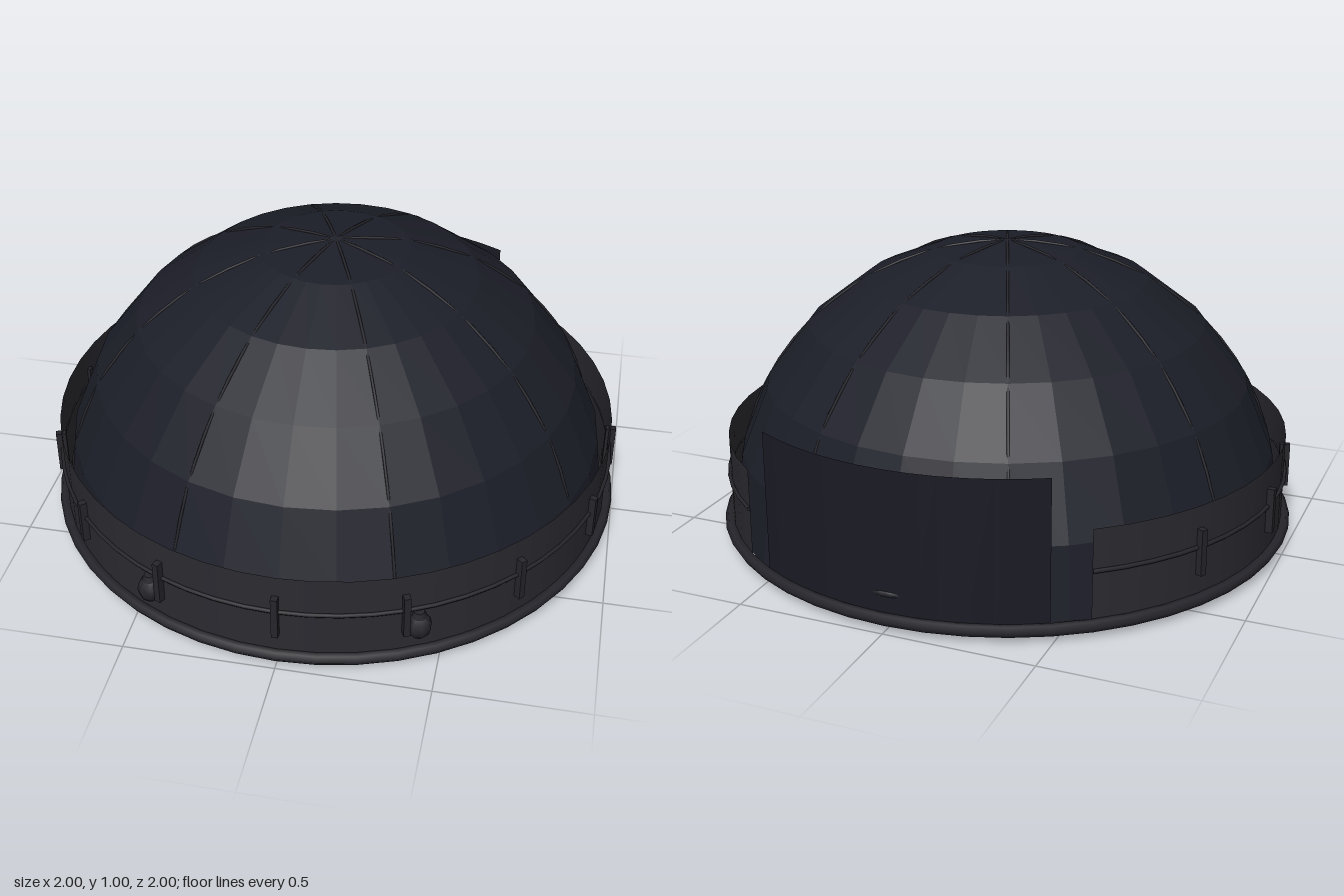
import * as THREE from 'three';

const rad = THREE.MathUtils.degToRad;
const mat = (color, flatShading = false) =>
  new THREE.MeshStandardMaterial({ color, flatShading, side: THREE.DoubleSide });

export function createModel() {
  const model = new THREE.Group();
  const domeMat = mat(0x1c1e28, true);
  const bandMat = mat(0x2a2a30);
  const panelMat = mat(0x1a1a24);
  const trimMat = mat(0x25252b);
  const baseMat = mat(0x16161b);

  const add = (name, geometry, material, parent = model) => {
    const mesh = new THREE.Mesh(geometry, material);
    mesh.name = name;
    parent.add(mesh);
    return mesh;
  };

  // Places a mesh on a circle; 0 degrees is the front, turning towards +x
  const around = (mesh, degrees, radius, y) => {
    const a = rad(degrees);
    mesh.position.set(Math.sin(a) * radius, y, Math.cos(a) * radius);
    mesh.rotation.y = a;
    return mesh;
  };

  // Open curved wall centred on the given direction
  const wall = (radius, bottom, top, centre, span, segments) =>
    new THREE.CylinderGeometry(radius, radius, top - bottom, segments, 1, true,
      rad(centre - span / 2), rad(span)).translate(0, (top + bottom) / 2, 0);

  // Base plate and rim
  add('basePlate', new THREE.CylinderGeometry(0.93, 0.93, 0.04, 48).translate(0, 0.02, 0), baseMat);
  add('baseRim', new THREE.TorusGeometry(0.98, 0.02, 6, 48).rotateX(Math.PI / 2).translate(0, 0.04, 0), trimMat);

  // Faceted dome
  add('dome', new THREE.SphereGeometry(0.96, 32, 6, 0, Math.PI * 2, 0, Math.PI / 2).translate(0, 0.04, 0), domeMat);

  // Thin ribs, barely proud of the dome facets
  const ribs = new THREE.Group();
  ribs.name = 'domeRibs';
  model.add(ribs);
  for (let i = 0; i < 4; i++) {
    const rib = add('rib', new THREE.TorusGeometry(0.955, 0.005, 6, 32, Math.PI), trimMat, ribs);
    rib.position.y = 0.04;
    rib.rotation.y = rad(22.5 + 45 * i);
  }

  // Band around the front and sides, with its rail
  const bandSpan = 285;
  add('band', wall(0.97, 0.04, 0.355, 0, bandSpan, 40), bandMat);
  add('bandRail', new THREE.TorusGeometry(0.974, 0.007, 6, 48, rad(bandSpan))
    .rotateZ(rad(90 - bandSpan / 2)).rotateX(Math.PI / 2).translate(0, 0.218, 0), trimMat);

  // Upright clips on the band
  const clips = new THREE.Group();
  clips.name = 'bandClips';
  model.add(clips);
  for (let a = -120; a <= 96; a += 24) {
    around(add('clip', new THREE.BoxGeometry(0.022, 0.155, 0.035), trimMat, clips), a, 0.975, 0.203);
  }

  // Curved panel at the back
  add('backPanel', wall(0.97, 0.05, 0.53, 180, 60, 12), panelMat);

  // Front knobs, each with a small cap
  for (const side of [-1, 1]) {
    const knob = new THREE.Group();
    knob.name = 'frontKnob';
    add('knobBody', new THREE.SphereGeometry(0.042, 8, 6), trimMat, knob).scale.y = 1.15;
    add('knobCap', new THREE.CylinderGeometry(0.018, 0.028, 0.03, 8).translate(0, 0.043, 0), trimMat, knob);
    model.add(around(knob, side * 26.5, 0.975, 0.15));
  }

  // Flat lugs on the rim and behind the panel
  for (const [a, r, y] of [[-59, 0.978, 0.045], [59, 0.978, 0.045], [180, 0.957, 0.12]]) {
    around(add('lug', new THREE.SphereGeometry(1, 10, 6).scale(0.06, 0.014, 0.018), trimMat), a, r, y);
  }

  return model;
}
